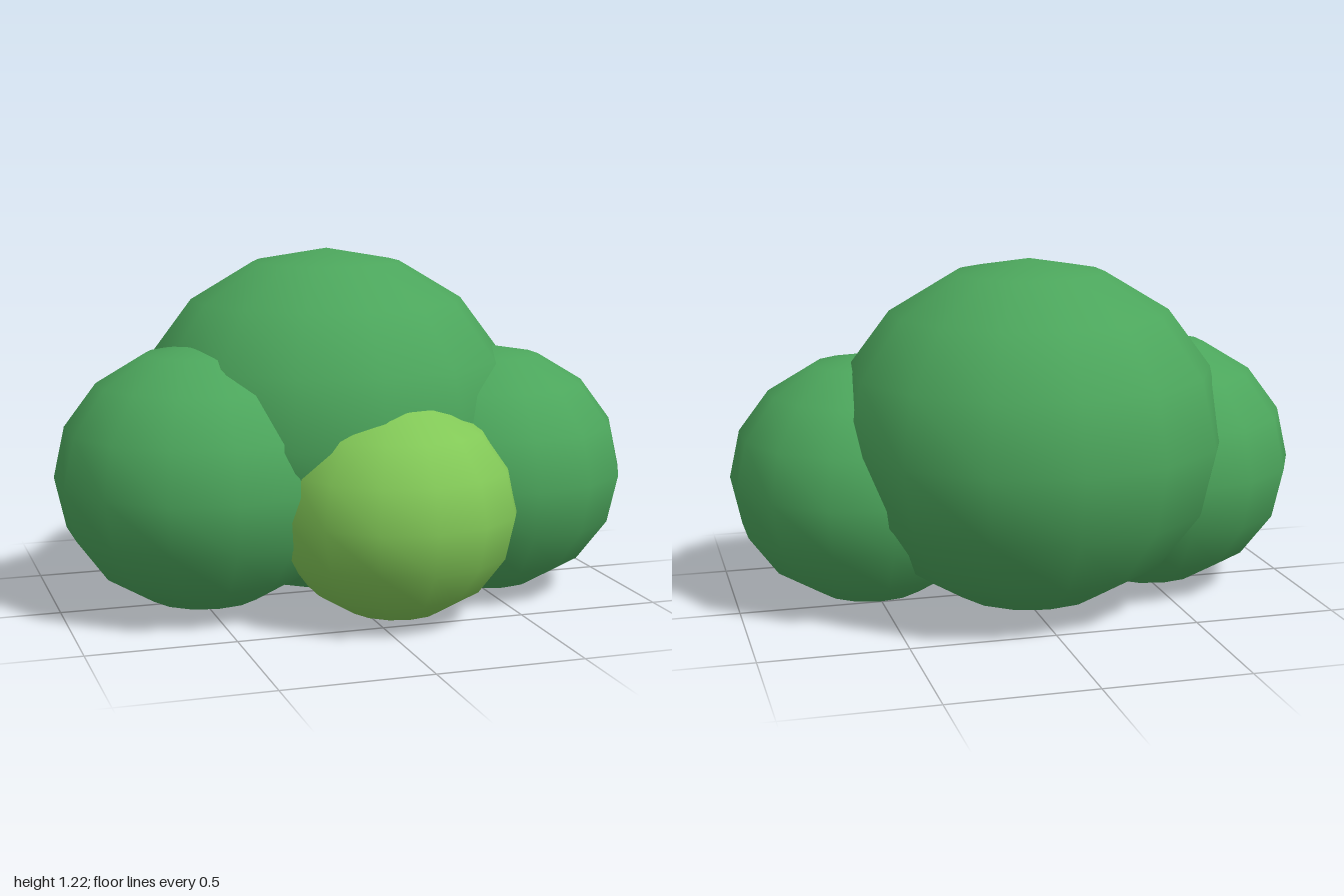
import * as THREE from 'three';

export function createModel() {
  const bush = new THREE.Group();
  bush.name = 'bush';

  const leafGreen = new THREE.MeshStandardMaterial({ color: 0x4ca65c });
  leafGreen.name = 'leaf green';
  const limeGreen = new THREE.MeshStandardMaterial({ color: 0x82c857 });
  limeGreen.name = 'lime green';

  // Smooth, coarse ball, turned so that a corner points forward
  const ball = new THREE.SphereGeometry(1, 14, 8);
  ball.rotateY(Math.PI / 2);

  // Slightly flattened leaf clump resting on the ground
  function clump(name, material, x, z, radius, halfHeight) {
    const mesh = new THREE.Mesh(ball, material);
    mesh.name = name;
    mesh.scale.set(radius, halfHeight, radius);
    mesh.position.set(x, halfHeight, z);
    bush.add(mesh);
  }

  clump('mainClump', leafGreen, -0.01, -0.11, 0.68, 0.61);
  clump('rightClump', leafGreen, -0.5, 0.04, 0.512, 0.46);
  clump('leftClump', leafGreen, 0.522, 0.09, 0.489, 0.44);
  clump('frontClump', limeGreen, 0.085, 0.37, 0.42, 0.378);

  return bush;
}
